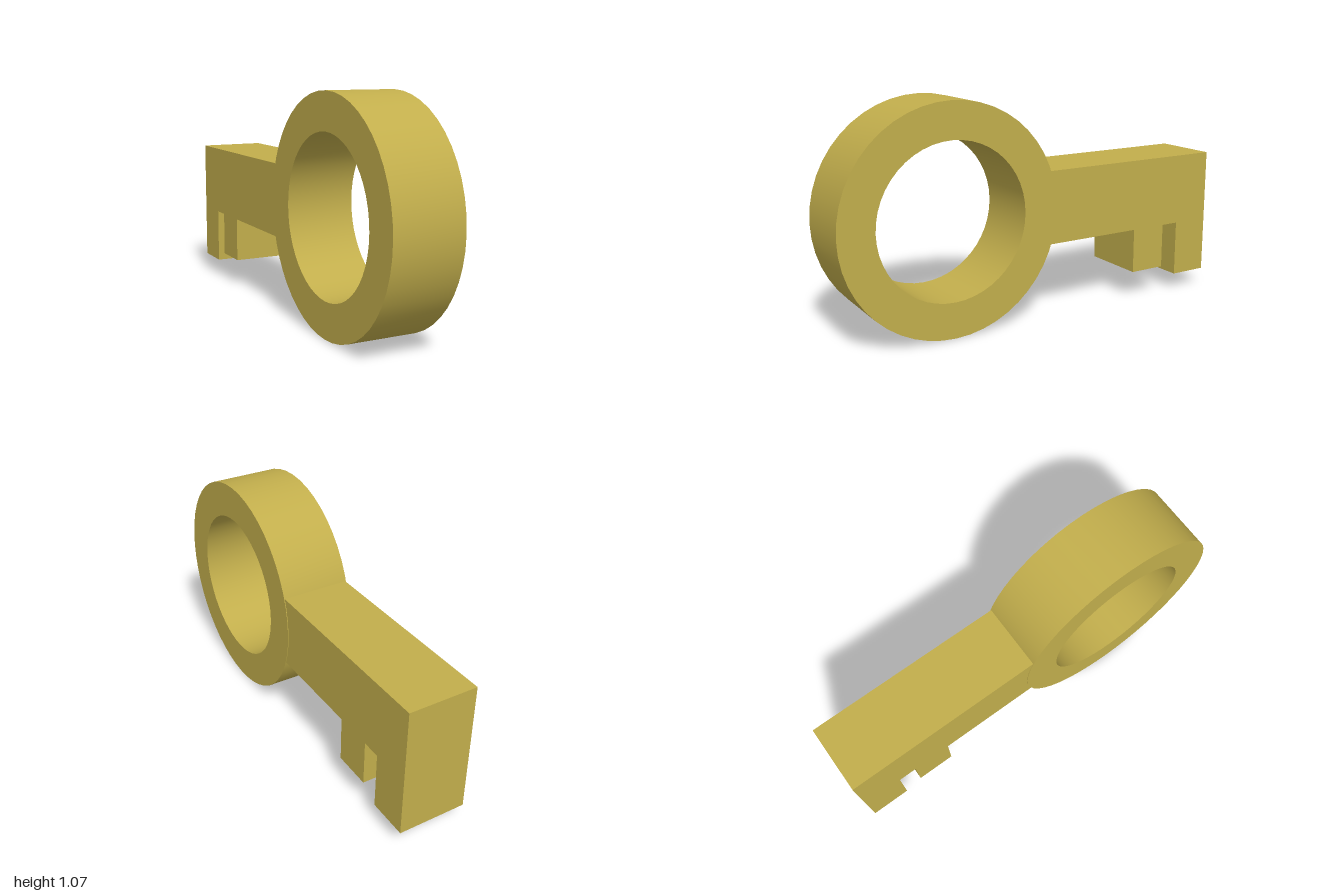
import * as THREE from 'three';
import { toCreasedNormals } from 'three/addons/utils/BufferGeometryUtils.js';

const brass = new THREE.MeshStandardMaterial({ color: 0xc2ae4c });

// Extrudes a (z, y) side profile across x, centred on x = 0
function slab(name, shape, width) {
  let geometry = new THREE.ExtrudeGeometry(shape, { depth: width, bevelEnabled: false, curveSegments: 24 });
  geometry.translate(0, 0, -width / 2);
  geometry.rotateY(-Math.PI / 2);
  geometry = toCreasedNormals(geometry, 0.5);
  const mesh = new THREE.Mesh(geometry, brass);
  mesh.name = name;
  return mesh;
}

export function createModel() {
  const key = new THREE.Group();
  key.name = 'key';

  // Round bow with its finger hole
  const bow = new THREE.Shape().absarc(0.467, 0.533, 0.533, 0, Math.PI * 2, false);
  bow.holes.push(new THREE.Path().absarc(0.467, 0.533, 0.363, 0, Math.PI * 2, true));
  key.add(slab('bow', bow, 0.332));

  // Straight shank with two teeth, its root buried in the bow
  const profile = [
    [0.08, 0.71], [-1, 0.71], [-1, 0.085], [-0.81, 0.085], [-0.81, 0.36],
    [-0.72, 0.36], [-0.72, 0.14], [-0.535, 0.14], [-0.535, 0.36], [0.08, 0.36],
  ];
  const shank = new THREE.Shape(profile.map(([z, y]) => new THREE.Vector2(z, y)));
  key.add(slab('shankAndTeeth', shank, 0.326));

  return key;
}
